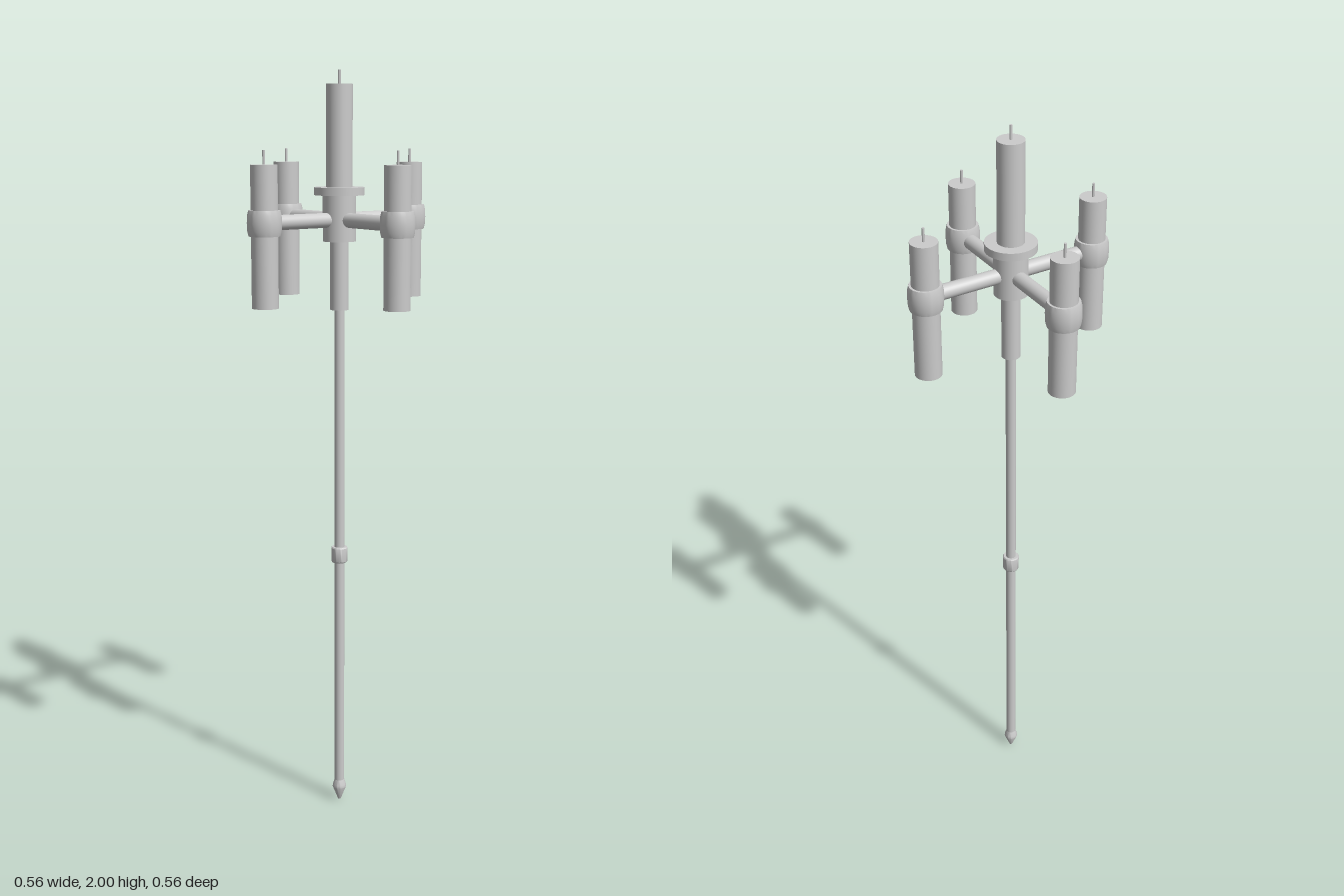
import * as THREE from 'three';
import { toCreasedNormals } from 'three/addons/utils/BufferGeometryUtils.js';

const material = new THREE.MeshStandardMaterial({ color: 0xcccccc });
const ARM_Y = 1.625;
const REACH = 0.235;

function add(parent, name, geometry, x = 0, y = 0, z = 0) {
  const mesh = new THREE.Mesh(geometry, material);
  mesh.name = name;
  mesh.position.set(x, y, z);
  parent.add(mesh);
  return mesh;
}

// Turned part from [radius, height] pairs, listed bottom to top
function turned(profile, sides = 40) {
  const points = profile.map(([r, y]) => new THREE.Vector2(r, y));
  return toCreasedNormals(new THREE.LatheGeometry(points, sides), 0.6);
}

function cylinder(radius, bottom, top, sides = 40) {
  return new THREE.CylinderGeometry(radius, radius, top - bottom, sides)
    .translate(0, (top + bottom) / 2, 0);
}

function addCandle(parent, bottom, top, x = 0) {
  const candle = new THREE.Group();
  candle.name = 'candle';
  candle.position.x = x;
  add(candle, 'wax', cylinder(0.034, bottom, top));
  add(candle, 'wick', cylinder(0.0035, top, top + 0.035, 12));
  parent.add(candle);
}

export function createModel() {
  const model = new THREE.Group();
  model.name = 'candleStake';

  // Ground stake: pointed tip, long rod and joint
  add(model, 'spikeTip', turned([
    [0, 0], [0.004, 0.002], [0.019, 0.04], [0.018, 0.047], [0.0135, 0.062], [0, 0.062],
  ]));
  add(model, 'rod', cylinder(0.0135, 0.05, 1.42, 32));
  add(model, 'rodJoint', turned([
    [0, 0.703], [0.02, 0.703], [0.022, 0.706], [0.022, 0.743], [0.02, 0.746], [0, 0.746],
  ]));

  // Socket, hub and drip plate
  add(model, 'socket', cylinder(0.024, 1.392, 1.6));
  add(model, 'hub', cylinder(0.043, 1.57, 1.69));
  add(model, 'dripPlate', cylinder(0.065, 1.688, 1.708, 48));
  addCandle(model, 1.7, 1.965);

  // Four arms, each with a barrel-shaped collar and a candle
  const collar = turned([
    [0.034, -0.032], [0.04, -0.032], [0.043, -0.02], [0.044, 0],
    [0.043, 0.02], [0.04, 0.032], [0.034, 0.032],
  ]);
  for (let i = 0; i < 4; i++) {
    const branch = new THREE.Group();
    branch.name = 'branch';
    branch.rotation.y = i * Math.PI / 2;
    const bar = cylinder(0.019, 0.02, REACH - 0.02, 32).rotateZ(-Math.PI / 2);
    add(branch, 'arm', bar, 0, ARM_Y);
    add(branch, 'collar', collar, REACH, ARM_Y);
    addCandle(branch, 1.413, 1.768, REACH);
    model.add(branch);
  }
  return model;
}
